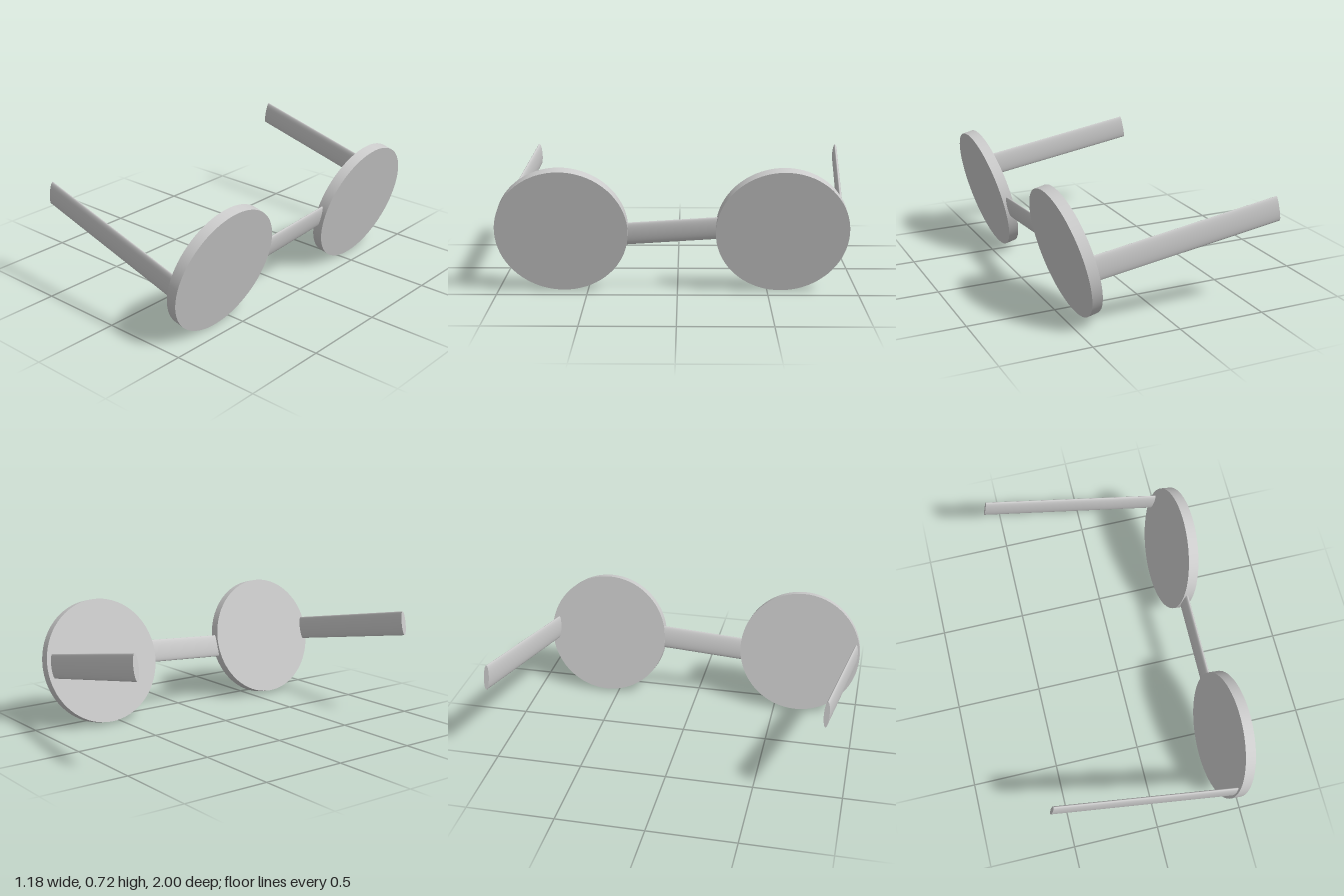
import * as THREE from 'three';

const material = new THREE.MeshStandardMaterial({ color: 0xcccccc });
const TILT = Math.atan2(0.175, 0.708); // forward lean of the lenses

// Flat bar with an elliptical section, running from a to b; tall is its broad direction
function bar(name, a, b, tall, height, thickness) {
  const start = new THREE.Vector3(...a);
  const end = new THREE.Vector3(...b);
  const along = end.clone().sub(start);
  const length = along.length();
  along.normalize();
  const side = tall.clone().cross(along).normalize();
  const broad = along.clone().cross(side);

  const geometry = new THREE.CylinderGeometry(0.5, 0.5, length, 40);
  geometry.scale(thickness, 1, height);
  const mesh = new THREE.Mesh(geometry, material);
  mesh.name = name;
  mesh.quaternion.setFromRotationMatrix(new THREE.Matrix4().makeBasis(side, along, broad));
  // makeBasis needs a right-handed set: side x along = broad
  if (side.clone().cross(along).dot(broad) < 0) {
    mesh.quaternion.setFromRotationMatrix(
      new THREE.Matrix4().makeBasis(side.clone().negate(), along, broad));
  }
  mesh.position.copy(start).add(end).multiplyScalar(0.5);
  return mesh;
}

// Thin round disc leaning with the frame
function lens(name, z) {
  const mesh = new THREE.Mesh(new THREE.CylinderGeometry(0.365, 0.365, 0.06, 72), material);
  mesh.name = name;
  mesh.rotation.z = -Math.PI / 2 - TILT;
  mesh.position.set(0.467, 0.365, z);
  return mesh;
}

export function createModel() {
  const group = new THREE.Group();
  group.name = 'sunglasses';
  const up = new THREE.Vector3(0, 1, 0);
  const lean = new THREE.Vector3(Math.sin(TILT), Math.cos(TILT), 0);

  // Lenses
  group.add(lens('leftLens', 0.635), lens('rightLens', -0.575));

  // Bridge, slightly higher at one end
  group.add(bar('bridge', [0.461, 0.343, 0.3], [0.461, 0.378, -0.24], lean, 0.135, 0.03));

  // Temples, sweeping back and up
  group.add(bar('leftTemple', [0.44, 0.382, 0.973], [-0.578, 0.581, 0.882], up, 0.142, 0.03));
  group.add(bar('rightTemple', [0.44, 0.382, -0.9], [-0.578, 0.581, -0.987], up, 0.142, 0.03));

  return group;
}
